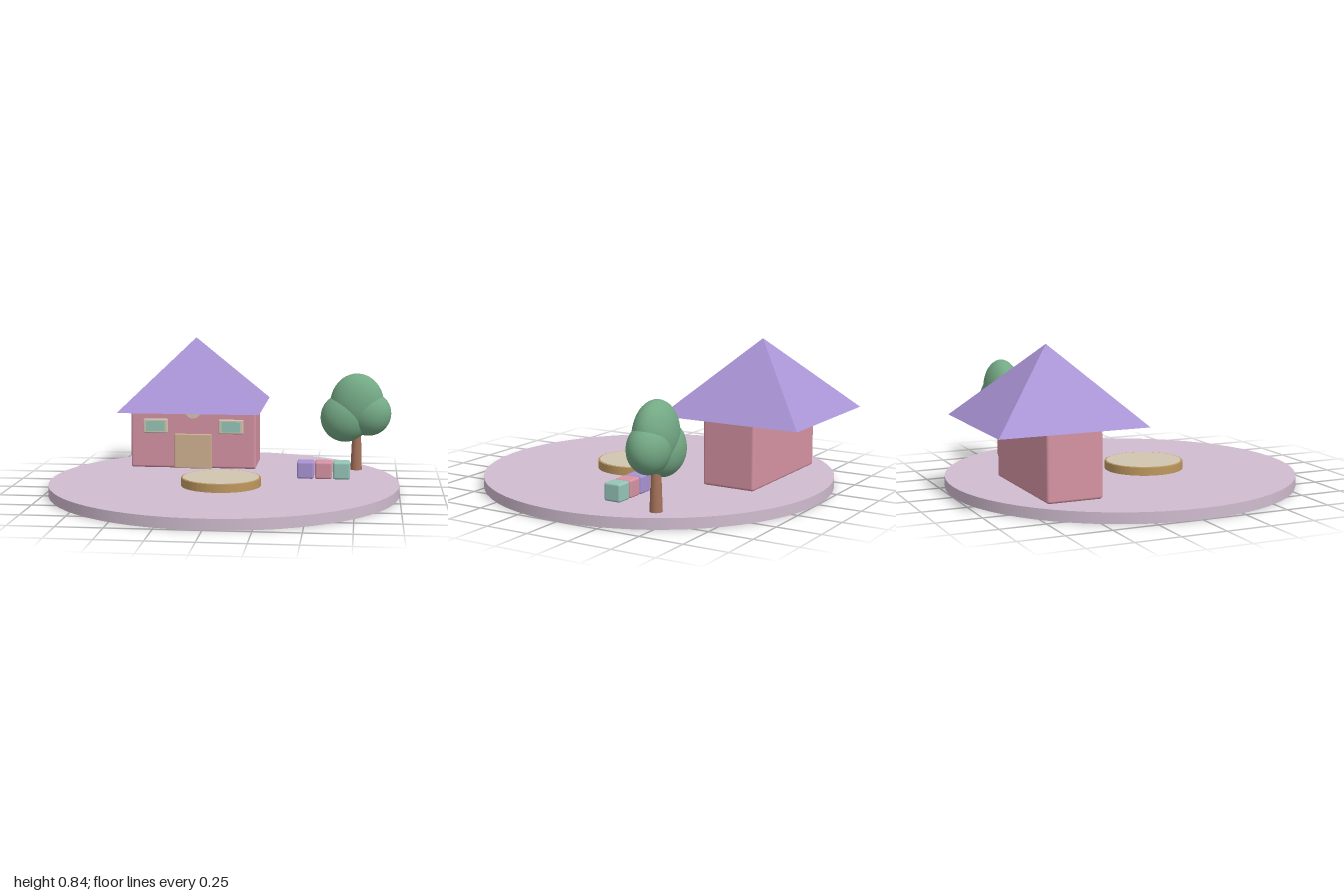
import * as THREE from 'three';
import { RoundedBoxGeometry } from 'three/addons/geometries/RoundedBoxGeometry.js';

function mat(name, color) {
  const m = new THREE.MeshStandardMaterial({ color });
  m.name = name;
  return m;
}

export function createModel() {
  const model = new THREE.Group();
  model.name = 'gardenHouse';
  const lilac = mat('pale lilac', 0xd0bccf);
  const purple = mat('purple', 0xa893d4);
  const pink = mat('pink', 0xd693a3);
  const green = mat('leaf green', 0x74a985);
  const brown = mat('bark brown', 0xa5735c);
  const mint = mat('mint', 0x95c5b7);
  const cream = mat('cream', 0xd0c5b0);
  const gold = mat('gold', 0xbf985f);
  const tan = mat('tan', 0xcfb192);
  const dark = mat('dark grey', 0x4a4450);

  function add(name, geometry, material, x, y, z, parent = model) {
    const mesh = new THREE.Mesh(geometry, material);
    mesh.name = name;
    mesh.position.set(x, y, z);
    parent.add(mesh);
    return mesh;
  }
  function group(name, x, y, z) {
    const g = new THREE.Group();
    g.name = name;
    g.position.set(x, y, z);
    model.add(g);
    return g;
  }
  const rounded = (w, h, d, r) => new RoundedBoxGeometry(w, h, d, 3, r);

  // Round ground plate
  const ground = 0.06;
  add('ground', new THREE.CylinderGeometry(1, 1, ground, 64), lilac, 0, ground / 2, 0);

  // House, with its origin on the ground under the roof tip
  const house = group('house', -0.228, ground, -0.535);
  const front = 0.158;
  add('walls', rounded(0.76, 0.385, 0.312, 0.015), pink, 0, 0.1925, 0.003, house);
  const roof = new THREE.ConeGeometry(0.418 * Math.SQRT2, 0.415, 4, 1).toNonIndexed();
  roof.rotateY(Math.PI / 4);
  roof.computeVertexNormals();
  add('roof', roof, purple, 0, 0.573, -0.005, house);
  add('door', rounded(0.226, 0.21, 0.024, 0.006), tan, 0, 0.105, front, house);
  for (const side of [-1, 1]) {
    const name = side < 0 ? 'right' : 'left';
    add(name + 'WindowFrame', rounded(0.15, 0.088, 0.02, 0.008), cream, side * 0.229, 0.256, front, house);
    add(name + 'WindowPane', new THREE.BoxGeometry(0.112, 0.062, 0.008), mint, side * 0.229, 0.256, front + 0.01, house);
  }

  // Clock tucked under the eaves
  const face = new THREE.CylinderGeometry(0.05, 0.05, 0.02, 32).rotateX(Math.PI / 2);
  add('clockFace', face, cream, 0, 0.355, front, house);
  add('clockMinuteHand', new THREE.BoxGeometry(0.005, 0.035, 0.004), dark, 0, 0.37, front + 0.011, house);
  const hour = add('clockHourHand', new THREE.BoxGeometry(0.024, 0.005, 0.004), dark, 0.01, 0.351, front + 0.011, house);
  hour.rotation.z = -0.35;

  // Round sandpit
  const pit = group('sandpit', 0, ground, 0.15);
  add('sandpitRim', new THREE.CylinderGeometry(0.225, 0.225, 0.046, 48), gold, 0, 0.027, 0, pit);
  add('sandpitLip', new THREE.TorusGeometry(0.219, 0.006, 8, 48).rotateX(Math.PI / 2), gold, 0, 0.047, 0, pit);
  add('sand', new THREE.CylinderGeometry(0.215, 0.215, 0.006, 48), cream, 0, 0.05, 0, pit);

  // Toy blocks
  [purple, pink, mint].forEach((m, i) =>
    add('block' + (i + 1), rounded(0.098, 0.1, 0.1, 0.012), m, 0.462 + i * 0.104, ground + 0.05, -0.152));

  // Tree: tapered trunk and three flattened leaf clumps
  const tree = group('tree', 0.752, ground, -0.445);
  add('trunk', new THREE.CylinderGeometry(0.024, 0.034, 0.28, 24), brown, 0, 0.14, 0, tree);
  const clumps = [
    [0, 0.398, 0.16, 0.182, 0.107],
    [-0.07, 0.315, 0.147, 0.147, 0.11],
    [0.068, 0.341, 0.136, 0.134, 0.108],
  ];
  clumps.forEach(([x, y, rx, ry, rz], i) =>
    add('leaves' + (i + 1), new THREE.SphereGeometry(1, 32, 20), green, x, y, 0, tree).scale.set(rx, ry, rz));

  return model;
}
